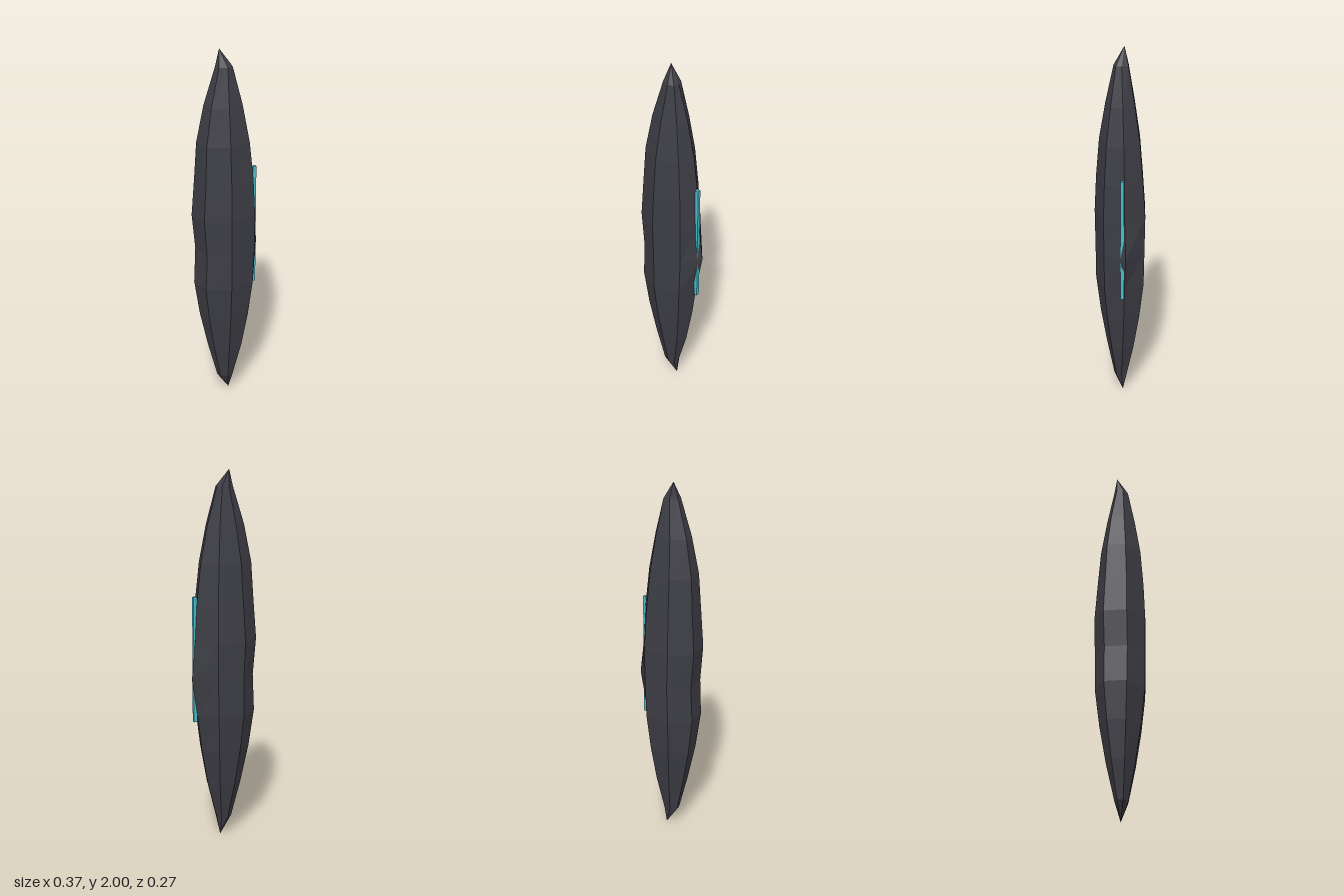
import * as THREE from 'three';

const stone = new THREE.MeshStandardMaterial({ color: 0x3d3d45, flatShading: true });
stone.name = 'dark stone';
const glow = new THREE.MeshStandardMaterial({ color: 0x48bccd });
glow.name = 'cyan inlay';

// Seven-sided cross-section, scaled to each ring's extents
const section = [
  [1, -0.13], [0.48, -0.95], [-0.42, -1], [-1, -0.36], [-0.88, 0.54], [-0.17, 1], [0.76, 0.68],
];

// Rings from bottom to top: y, left x, right x, back z, front z
const rings = [
  [0.10, 0.055, 0.030, 0.037, 0.033],
  [0.30, 0.105, 0.085, 0.077, 0.073],
  [0.50, 0.147, 0.122, 0.108, 0.107],
  [0.70, 0.175, 0.148, 0.130, 0.131],
  [0.90, 0.166, 0.158, 0.133, 0.133],
  [1.10, 0.184, 0.160, 0.136, 0.136],
  [1.30, 0.170, 0.149, 0.122, 0.127],
  [1.51, 0.158, 0.125, 0.105, 0.110],
  [1.71, 0.120, 0.085, 0.076, 0.076],
  [1.91, 0.060, 0.028, 0.043, 0.034],
];

function shardGeometry() {
  const n = section.length;
  const positions = [];
  const index = [];
  rings.forEach(([y, left, right, back, front], r) => {
    section.forEach(([u, v], i) => {
      let x = u * (u > 0 ? right : left);
      let z = v * (v > 0 ? front : back);
      if (r === 4 && i === 0) { x = 0.182; z = -0.022; } // chipped bulge on the side edge
      positions.push(x, y, z);
    });
  });
  // Off-centre tips
  const bottom = rings.length * n;
  const top = bottom + 1;
  positions.push(0.013, 0, -0.015, -0.035, 2, -0.022);

  for (let i = 0; i < n; i++) {
    const j = (i + 1) % n;
    for (let r = 0; r < rings.length - 1; r++) {
      const a = r * n + i, b = r * n + j, c = b + n, d = a + n;
      index.push(a, b, c, a, c, d);
    }
    const last = (rings.length - 1) * n;
    index.push(bottom, j, i, top, last + i, last + j);
  }
  const indexed = new THREE.BufferGeometry();
  indexed.setAttribute('position', new THREE.Float32BufferAttribute(positions, 3));
  indexed.setIndex(index);
  const geometry = indexed.toNonIndexed();
  geometry.computeVertexNormals();
  return geometry;
}

export function createModel() {
  const group = new THREE.Group();
  group.name = 'stoneShard';

  // Faceted stone body
  const body = new THREE.Mesh(shardGeometry(), stone);
  body.name = 'shardBody';

  // Straight bar set into the side edge
  const bar = new THREE.Mesh(new THREE.BoxGeometry(0.02, 0.68, 0.018), glow);
  bar.name = 'sideInlay';
  bar.position.set(0.157, 1, -0.005);

  group.add(body, bar);
  return group;
}
